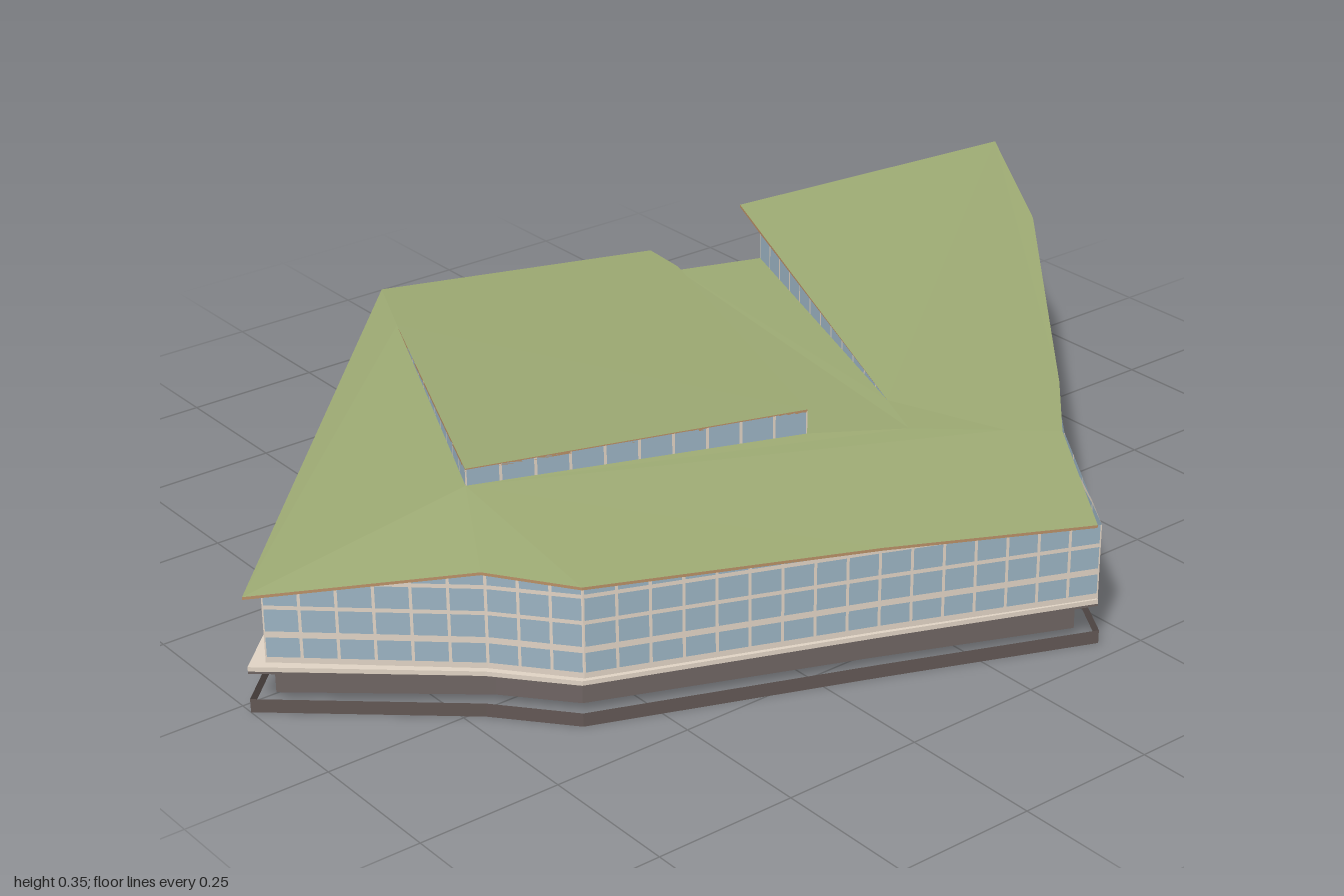
import * as THREE from 'three';

const mat = (name, color, double = false) => {
  const m = new THREE.MeshStandardMaterial({ color });
  m.name = name;
  if (double) m.side = THREE.DoubleSide;
  return m;
};

export function createModel() {
  const green = mat('green roof', 0x9ba872);
  const brown = mat('brown soffit', 0xb88f66, true);
  const glass = mat('blue glass', 0x9ab2c1, true);
  const tan = mat('tan frame', 0xdfd2c3, true);
  const grey = mat('grey plinth', 0x6e6462, true);
  const dark = mat('dark kerb', 0x625754, true);

  const model = new THREE.Group();
  model.name = 'building';
  const add = (name, geometry, material, parent = model) => {
    const mesh = new THREE.Mesh(geometry, material);
    mesh.name = name;
    parent.add(mesh);
    return mesh;
  };
  const fromPoints = (pts) => {
    const g = new THREE.BufferGeometry().setFromPoints(pts);
    g.computeVertexNormals();
    return g;
  };
  const V = (p, dy = 0) => new THREE.Vector3(p[0], p[1] + dy, p[2]);

  // Horizontal slab from a plan outline of [x, z] points
  const slab = (name, plan, y, h, material) => {
    const shape = new THREE.Shape(plan.map(([x, z]) => new THREE.Vector2(x, -z)));
    const g = new THREE.ExtrudeGeometry(shape, { depth: h, bevelEnabled: false });
    g.rotateX(-Math.PI / 2);
    g.translate(0, y, 0);
    add(name, g, material);
  };
  // Open upright band along a plan outline
  const band = (name, plan, y0, y1, material) => {
    const pts = [];
    plan.forEach(([x, z], i) => {
      const [u, w] = plan[(i + 1) % plan.length];
      const a = V([x, y0, z]), b = V([u, y0, w]), c = V([u, y1, w]), d = V([x, y1, z]);
      pts.push(a, c, b, a, d, c);
    });
    // outlines run clockwise seen from above, so flip to face outward
    add(name, fromPoints(pts), material);
  };

  // Base: open kerb, recessed plinth and terrace with a grey underside
  const terracePlan = [[-1, 0.025], [-0.25, -0.72], [0.258, -0.57], [0.238, -0.46],
    [0.352, -0.415], [0.435, -0.515], [1, -0.405], [0.815, -0.11], [0.415, 0.37],
    [0.315, 0.485], [0.186, 0.71], [-0.16, 0.57], [-0.62, 0.39], [-0.72, 0.27]];
  slab('terraceUnderside', terracePlan, 0.07, 0.004, grey);
  slab('terrace', terracePlan, 0.074, 0.008, tan);
  band('plinth', [[-0.955, 0.03], [-0.24, -0.68], [0.22, -0.545], [0.205, -0.435],
    [0.36, -0.375], [0.45, -0.475], [0.95, -0.38], [0.78, -0.1], [0.385, 0.35],
    [0.285, 0.465], [0.166, 0.678], [-0.16, 0.54], [-0.6, 0.362], [-0.69, 0.255]],
  0.022, 0.07, grey);
  const kerbPlan = terracePlan.map((p) => [...p]);
  kerbPlan[8] = [0.425, 0.37];
  kerbPlan[9] = [0.33, 0.485];
  kerbPlan[10] = [0.19, 0.712];
  band('kerb', kerbPlan, 0, 0.024, dark);

  // Folded roof: shared corners as [x, y, z]
  const A = [-1, 0.207, 0.025], B = [-0.25, 0.27, -0.72], C = [0.26, 0.262, -0.57];
  const D = [0.24, 0.263, -0.46], E = [0.39, 0.267, -0.4], F = [0.435, 0.328, -0.515];
  const G = [1, 0.355, -0.405], H = [0.82, 0.33, -0.11], I = [0.42, 0.28, 0.37];
  const J = [0.31, 0.265, 0.49], K = [0.175, 0.222, 0.71], L = [-0.16, 0.236, 0.57];
  const M = [-0.62, 0.25, 0.395], N = [-0.72, 0.258, 0.27];
  const P1 = [-0.335, 0.284, -0.54], P2 = [-0.615, 0.298, 0.08], P3 = [-0.055, 0.286, 0.26];
  const P2top = [-0.615, 0.328, 0.08], P3top = [-0.055, 0.33, 0.26], Dtop = [0.24, 0.27, -0.46];
  const Q = [0.1, 0.278, 0.34], R = [0.23, 0.271, 0.435], T = [0.145, 0.278, 0.235];

  const THICK = 0.005;
  const roof = (name, corners) => {
    const group = new THREE.Group();
    group.name = name;
    model.add(group);
    const plan = corners.map((p) => new THREE.Vector2(p[0], p[2]));
    const top = [], under = [], edge = [];
    for (const face of THREE.ShapeUtils.triangulateShape(plan, [])) {
      let [a, b, c] = face.map((i) => corners[i]);
      const up = (b[2] - a[2]) * (c[0] - a[0]) - (b[0] - a[0]) * (c[2] - a[2]);
      if (up < 0) [b, c] = [c, b];
      top.push(V(a), V(b), V(c));
      under.push(V(a, -THICK), V(c, -THICK), V(b, -THICK));
    }
    corners.forEach((p, i) => {
      const q = corners[(i + 1) % corners.length];
      edge.push(V(p), V(p, -THICK), V(q, -THICK), V(p), V(q, -THICK), V(q));
    });
    add('roofTop', fromPoints(top), green, group);
    add('roofSoffit', fromPoints([...under, ...edge]), brown, group);
  };
  roof('westRoofCorner', [A, N, P2]);
  roof('westRoofMiddle', [A, P2, P1]);
  roof('westRoofBack', [A, P1, B]);
  roof('frontRoof', [N, M, L, K, J, R, Q, P3, P2]);
  roof('raisedRoof', [P2top, P3top, Dtop, P1]);
  roof('raisedRoofBack', [P1, Dtop, C, B]);
  roof('valleyRoof', [P3, Q, T, E, D]);
  roof('eastRoof', [T, Q, R, J, I, H, G, F]);

  // Glazed wall from [x, z] to [x, z]: one flat grid of panes, mullions and rails
  const rails = [[0.082, 0.092], [0.127, 0.138], [0.177, 0.184], [0.223, 0.23]];
  const wall = (name, [x0, z0], [x1, z1], b0, b1, t0, t1) => {
    const len = Math.hypot(x1 - x0, z1 - z0);
    const n = Math.max(1, Math.round(len / 0.057));
    // column and row boundaries, frame and pane alternating
    const cols = [0];
    for (let i = 0; i <= n; i++) {
      if (i > 0) cols.push(len * i / n - 0.0025);
      if (i < n) cols.push(len * i / n + 0.0025);
    }
    cols.push(len);
    const rows = [0, ...rails.flat(), 1];
    const point = (s, y) => {
      const f = s / len;
      const h = Math.min(Math.max(y, b0 + (b1 - b0) * f), t0 + (t1 - t0) * f);
      return new THREE.Vector3(x0 + (x1 - x0) * f, h, z0 + (z1 - z0) * f);
    };
    const panes = [], frames = [];
    for (let i = 0; i < cols.length - 1; i++) {
      for (let j = 0; j < rows.length - 1; j++) {
        const a = point(cols[i], rows[j]), b = point(cols[i + 1], rows[j]);
        const c = point(cols[i + 1], rows[j + 1]), d = point(cols[i], rows[j + 1]);
        const list = i % 2 === 0 || j % 2 === 1 ? frames : panes;
        if (c.y - b.y > 1e-5) list.push(a, b, c);
        if (d.y - a.y > 1e-5) list.push(a, c, d);
      }
    }
    const g = fromPoints([...panes, ...frames]);
    g.addGroup(0, panes.length, 0);
    g.addGroup(panes.length, frames.length, 1);
    add(name, g, [glass, tan]);
  };

  // Outer walls: [x, z, wall height there]
  const corners = [[-0.97, 0.03, 0.203], [-0.71, 0.265, 0.251], [-0.612, 0.385, 0.246],
    [-0.16, 0.563, 0.23], [0.188, 0.707, 0.217], [0.318, 0.487, 0.259], [0.415, 0.367, 0.274],
    [0.81, -0.11, 0.324], [0.86, -0.21, 0.335], [0.39, -0.4, 0.26], [0.24, -0.45, 0.258],
    [0.235, -0.475, 0.258], [-0.24, -0.67, 0.263]];
  corners.forEach((p, i) => {
    const q = corners[(i + 1) % corners.length];
    // the wing's back wall rises to its own higher roof
    wall('outerWall', p, q, 0.08, 0.08, p[2], i === 8 ? 0.312 : q[2]);
  });

  // Clerestory walls where the roof planes part
  const step = (name, a, b, aTop, bTop) =>
    wall(name, [a[0], a[2]], [b[0], b[2]], a[1], b[1], aTop - 0.002, bTop - 0.002);
  step('clerestoryFront', P2, P3, P2top[1], P3top[1]);
  step('clerestoryWest', P1, P2, P1[1] + 0.002, P2top[1]);
  step('clerestoryEast', P3, D, P3top[1], Dtop[1]);
  step('eastWingSide', T, E, T[1] + 0.002, 0.318);

  return model;
}
